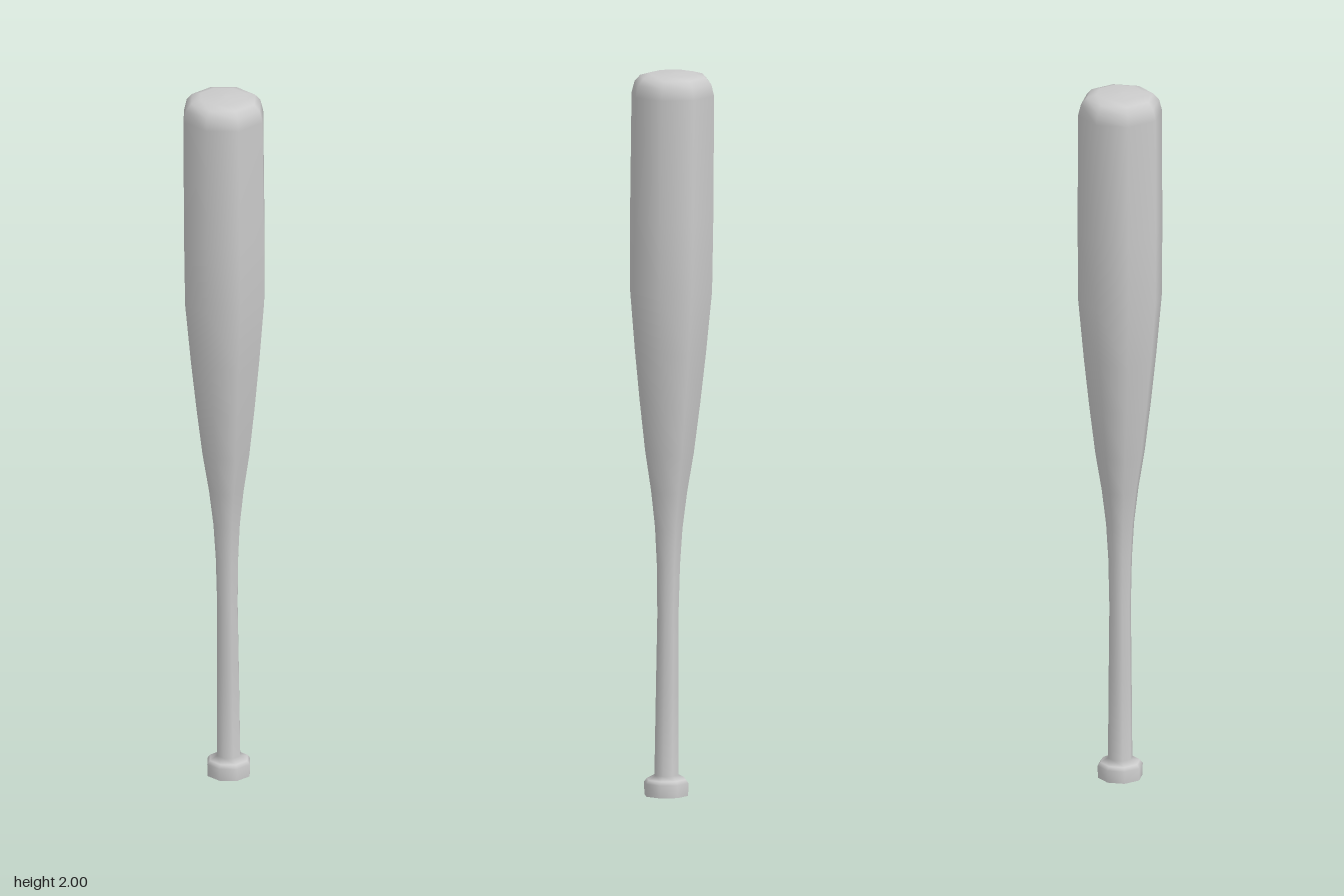
import * as THREE from 'three';

const SIDES = 8;
const START = THREE.MathUtils.degToRad(25);
const material = new THREE.MeshStandardMaterial({ color: 0xcccccc });

// Eight-sided turned part from [radius, height] pairs, leaning slightly along its length
function turned(name, profile) {
  const points = profile.map(([r, y]) => new THREE.Vector2(r, y));
  const geometry = new THREE.LatheGeometry(points, SIDES, START);
  const pos = geometry.attributes.position;
  for (let i = 0; i < pos.count; i++) {
    const y = pos.getY(i);
    pos.setX(i, pos.getX(i) + 0.004 - 0.002 * y);
    pos.setZ(i, pos.getZ(i) + 0.017 - 0.0095 * y);
  }
  const mesh = new THREE.Mesh(geometry, material);
  mesh.name = name;
  return mesh;
}

export function createModel() {
  const bat = new THREE.Group();
  bat.name = 'bat';

  // Flat underside of the knob
  bat.add(turned('knobBase', [[0, 0], [0.062, 0]]));

  // Knob, handle, taper and barrel in one smooth skin with a rounded tip
  bat.add(turned('batBody', [
    [0.062, 0], [0.063, 0.035], [0.055, 0.045], [0.034, 0.056],
    [0.032, 0.3], [0.030, 0.5], [0.033, 0.64], [0.039, 0.74], [0.051, 0.84],
    [0.069, 0.95], [0.086, 1.09], [0.101, 1.23], [0.1165, 1.4],
    [0.118, 1.6], [0.117, 1.94], [0.109, 1.972], [0.093, 1.99], [0.066, 1.998], [0, 2],
  ]));

  return bat;
}
